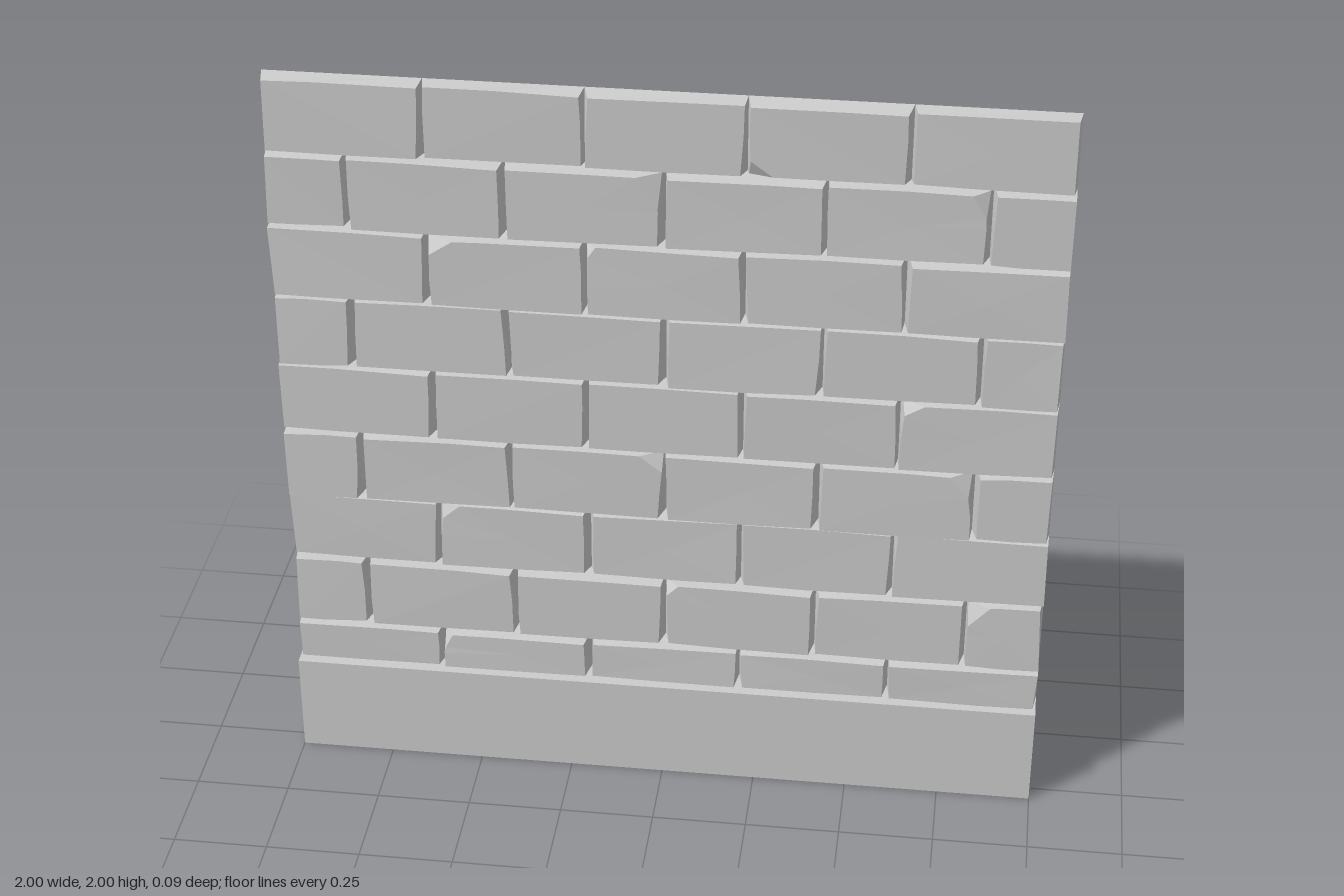
import * as THREE from 'three';

const BACK = -0.045;
const material = new THREE.MeshStandardMaterial({ color: 0xcccccc, flatShading: true, side: THREE.DoubleSide });

// Small seeded generator for the hand-cut unevenness
let seed = 7;
function rand(a, b) {
  seed = (seed * 16807) % 2147483647;
  return a + (b - a) * (seed / 2147483647);
}

function meshFrom(triangles, name) {
  const geometry = new THREE.BufferGeometry();
  geometry.setFromPoints(triangles);
  geometry.computeVertexNormals();
  const mesh = new THREE.Mesh(geometry, material);
  mesh.name = name;
  return mesh;
}

function fan(out, hub, loop) {
  for (let i = 0; i + 1 < loop.length; i++) out.push(hub, loop[i], loop[i + 1]);
}

// Open-backed stone: full size at the back, tapering to an uneven front.
// chips maps a corner (0 BL, 1 BR, 2 TR, 3 TL) to [width, height] of a broken-off facet.
function brick(x0, x1, y0, y1, z, chips, name) {
  const v = (x, y, d) => new THREE.Vector3(x, y, d);
  const back = [v(x0, y0, BACK), v(x1, y0, BACK), v(x1, y1, BACK), v(x0, y1, BACK)];
  const front = back.map((p, i) => {
    const outer = Math.abs(p.x) > 0.99;
    const dx = outer ? rand(0, 0.009) : rand(0.004, 0.016);
    const dy = rand(0.003, 0.011);
    return v(p.x + (i === 0 || i === 3 ? dx : -dx), p.y + (i < 2 ? dy : -dy), z + rand(-0.002, 0.002));
  });
  // Middle of each front edge, bowed slightly outward
  const mids = front.map((p, i) => {
    const m = p.clone().lerp(front[(i + 1) % 4], rand(0.35, 0.65));
    const bow = rand(0, 0.003);
    if (i % 2 === 0) m.y += i === 0 ? -bow : bow;
    else if (Math.abs(back[i].x) < 0.99) m.x += i === 1 ? bow : -bow;
    return m;
  });
  // Each corner becomes one point, or two points plus a deeper facet tip
  const corners = front.map((p, i) => {
    if (!chips[i]) return { first: p, last: p };
    const [w, h] = chips[i];
    const alongX = p.clone(), alongY = p.clone();
    alongX.x += i === 0 || i === 3 ? w : -w;
    alongY.y += i < 2 ? h : -h;
    const tip = back[i].clone().lerp(p, 0.5);
    return i % 2 ? { first: alongX, last: alongY, tip } : { first: alongY, last: alongX, tip };
  });
  const out = [], rim = [];
  corners.forEach((c, i) => {
    const n = (i + 1) % 4, next = corners[n];
    const side = [back[n]];
    if (next.tip) side.push(next.tip);
    side.push(next.first, mids[i], c.last);
    if (c.tip) side.push(c.tip);
    fan(out, back[i], side);
    if (c.tip) {
      out.push(c.first, c.tip, c.last);
      rim.push(c.first);
    }
    rim.push(c.last, mids[i]);
  });
  rim.push(rim[0]);
  fan(out, v((x0 + x1) / 2, (y0 + y1) / 2, z), rim);
  return meshFrom(out, name);
}

// Plinth: a box with no back
function plinth() {
  const geometry = new THREE.BoxGeometry(2, 0.28, 0.09).toNonIndexed();
  const p = geometry.attributes.position, out = [];
  for (let i = 0; i < 30; i++) out.push(new THREE.Vector3().fromBufferAttribute(p, i).add(new THREE.Vector3(0, 0.14, 0)));
  return meshFrom(out, 'plinth');
}

export function createModel() {
  seed = 7;
  const wall = new THREE.Group();
  wall.name = 'brickWall';
  wall.add(plinth());

  const levels = [0.28, 0.4, 0.6, 0.8, 1, 1.2, 1.4, 1.6, 1.8, 2];
  const depths = [0.026, 0.018, 0.005, 0.019, 0.013, 0.015, 0.022, 0.016, 0.003];
  const fullRow = [-1, -0.6, -0.2, 0.2, 0.6, 1];
  const offsetRow = [-1, -0.8, -0.4, 0, 0.4, 0.8, 1];
  // Broken corners, keyed by row and brick
  const chips = {
    '0,1': { 3: [0.02, 0.04] },
    '1,3': { 3: [0.03, 0.03] },
    '1,5': { 3: [0.055, 0.06] },
    '2,1': { 3: [0.045, 0.04] },
    '3,2': { 2: [0.06, 0.045] },
    '3,4': { 2: [0.05, 0.06] },
    '4,4': { 3: [0.05, 0.03] },
    '6,1': { 3: [0.06, 0.04] },
    '6,2': { 3: [0.02, 0.03] },
    '7,2': { 2: [0.055, 0.085] },
    '7,4': { 2: [0.035, 0.06] },
    '8,3': { 0: [0.055, 0.04] },
  };

  depths.forEach((depth, row) => {
    const course = new THREE.Group();
    course.name = `course${row + 1}`;
    const joints = row % 2 ? offsetRow : fullRow;
    for (let i = 0; i + 1 < joints.length; i++) {
      course.add(brick(joints[i], joints[i + 1], levels[row], levels[row + 1],
        depth + rand(-0.003, 0.003), chips[`${row},${i}`] || {}, `brick${i + 1}`));
    }
    wall.add(course);
  });
  return wall;
}
